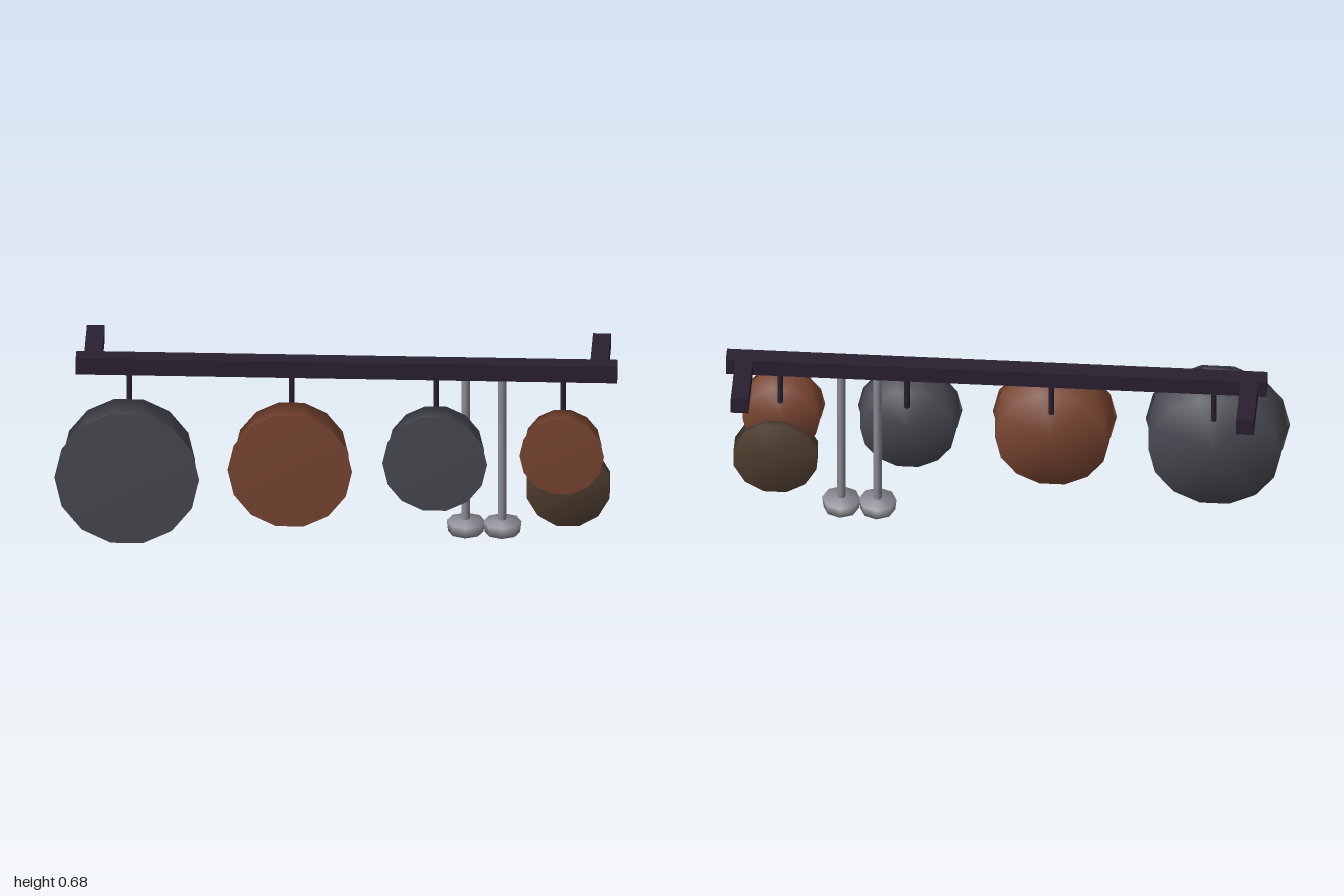
import * as THREE from 'three';

const mat = (color) => new THREE.MeshStandardMaterial({ color });

export function createModel() {
  const group = new THREE.Group();
  const iron = mat(0x2a2030), slate = mat(0x484951), copper = mat(0x7a4632);
  const bronze = mat(0x4f3d2f), steel = mat(0x8c8b94);
  const AXIS_Z = 0.017; // depth of the rail's centre line

  const add = (name, geometry, material, x, y, z) => {
    const mesh = new THREE.Mesh(geometry, material);
    mesh.name = name;
    mesh.position.set(x, y, z);
    group.add(mesh);
    return mesh;
  };
  // Turned solid; points are [radius, height]
  const turned = (points, sides, start) =>
    new THREE.LatheGeometry(points.map(([r, h]) => new THREE.Vector2(r, h)), sides, start);

  // Rail and the two wall brackets
  add('rail', new THREE.BoxGeometry(1.93, 0.063, 0.065), iron, 0.035, 0.6465, AXIS_Z);
  for (const x of [-0.87, 0.935]) {
    add('wallBracket', new THREE.BoxGeometry(0.063, 0.063, 0.225), iron, x, 0.6465, -0.1275);
  }

  // Hanging pans, each with a flared front lip and its own hook
  const pans = [
    { x: -0.74, y: 0.297, r: 0.258, back: 0.062, front: 0.24, material: slate },
    { x: -0.16, y: 0.324, r: 0.222, back: 0.057, front: 0.21, material: copper },
    { x: 0.355, y: 0.347, r: 0.187, back: 0.052, front: 0.18, material: slate },
    { x: 0.807, y: 0.371, r: 0.151, back: 0.046, front: 0.15, material: copper },
  ];
  for (const { x, y, r, back, front, material } of pans) {
    const depth = front - back;
    const profile = [[0, 0], [r * 0.915, 0], [r * 0.96, depth * 0.95], [r, depth], [0, depth]];
    add('pan', turned(profile, 14, Math.PI / 2), material, x, y, back).rotation.x = Math.PI / 2;
    add('hook', new THREE.CylinderGeometry(0.011, 0.011, 0.15, 6), iron, x, 0.55, AXIS_Z);
  }

  // Shallow lid hung behind the smallest pan
  const lid = [[0, 0], [0.153, 0], [0.153, 0.065], [0, 0.065]];
  add('lid', turned(lid, 12, Math.PI / 12), bronze, 0.826, 0.216, AXIS_Z).rotation.x = Math.PI / 2;

  // Ladles: long handle and flattened bowl
  const bowl = [[0, 0], [0.063, 0.011], [0.068, 0.053], [0, 0.064]];
  for (const x of [0.46, 0.59]) {
    add('ladleHandle', new THREE.CylinderGeometry(0.015, 0.015, 0.58, 8), steel, x, 0.33, AXIS_Z);
    add('ladleBowl', turned(bowl, 8, 0), steel, x, 0.001, AXIS_Z);
  }
  return group;
}
